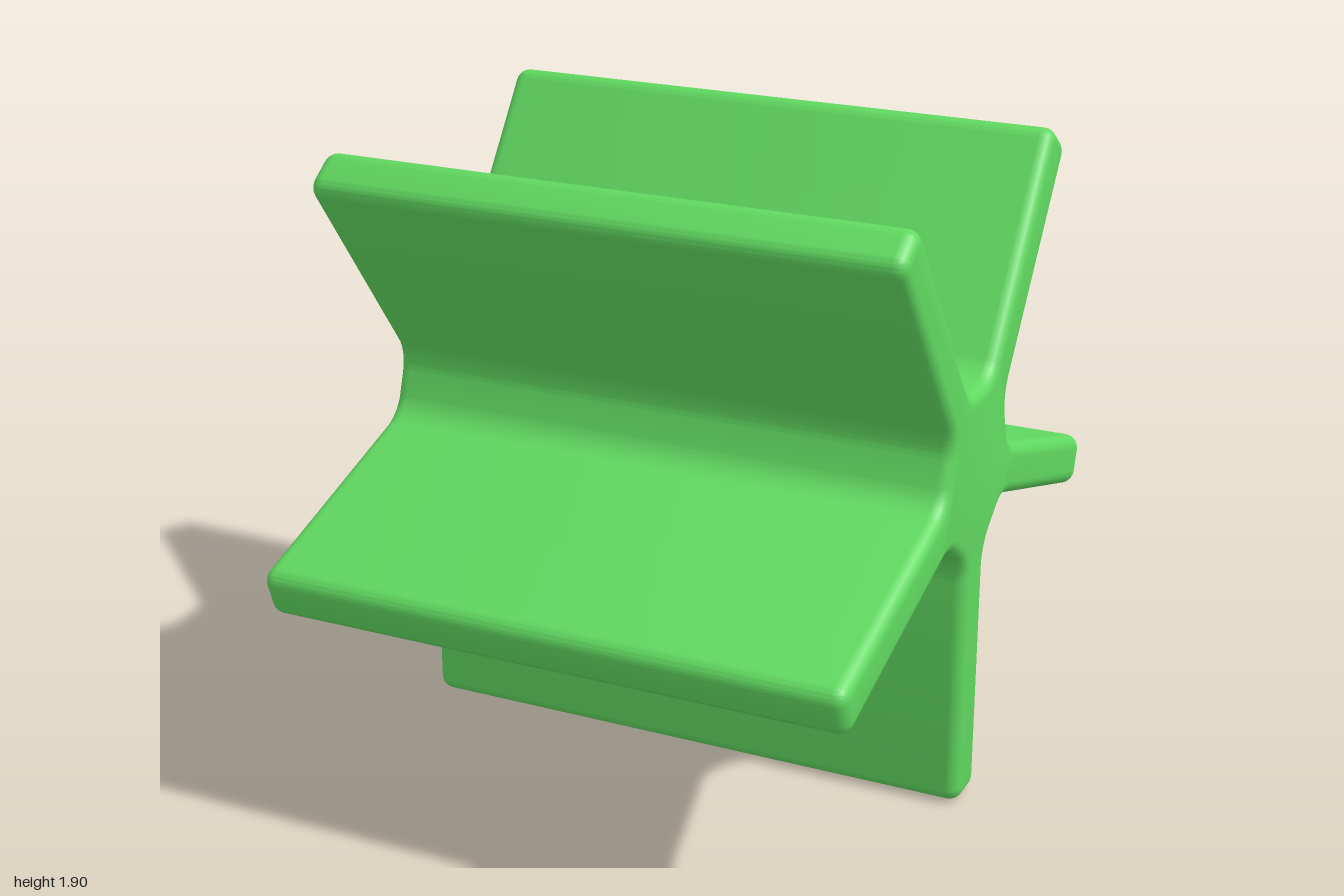
import * as THREE from 'three';
import { toCreasedNormals } from 'three/addons/utils/BufferGeometryUtils.js';

const ARMS = 5, REACH = 1.036, HALF_THICK = 0.078, HUB = 0.255, HALF_LENGTH = 0.885;
const BEVEL = 0.04, TIP_ROUND = 0.046, FILLET = 0.11;

// Closed outline through the corners, each replaced by an arc of its own radius
function roundedShape(corners) {
  const shape = new THREE.Shape();
  const n = corners.length;
  corners.forEach(({ p, r }, i) => {
    const u = corners[(i + n - 1) % n].p.clone().sub(p).normalize();
    const v = corners[(i + 1) % n].p.clone().sub(p).normalize();
    const half = Math.acos(u.dot(v)) / 2;
    const reach = r / Math.tan(half);
    const c = u.clone().add(v).normalize().multiplyScalar(r / Math.sin(half)).add(p);
    const a = u.clone().multiplyScalar(reach).add(p).sub(c).angle();
    const b = v.clone().multiplyScalar(reach).add(p).sub(c).angle();
    shape.absarc(c.x, c.y, r, a, b, u.cross(v) > 0);
  });
  return shape;
}

export function createModel() {
  const group = new THREE.Group();
  group.name = 'paddleRotor';
  const green = new THREE.MeshStandardMaterial({ color: 0x60d860 });
  green.name = 'green';

  // Each arm: root, two tip corners, root; the gaps between roots form the hub
  const half = Math.PI / ARMS;
  const root = (HUB - HALF_THICK * Math.sin(half)) / Math.cos(half);
  const corners = [];
  for (let i = 0; i < ARMS; i++) {
    const angle = -Math.PI / 2 + i * 2 * half;
    const add = (x, y, r) =>
      corners.push({ p: new THREE.Vector2(x, y).rotateAround(new THREE.Vector2(), angle), r });
    add(root, -HALF_THICK, FILLET);
    add(REACH, -HALF_THICK, TIP_ROUND);
    add(REACH, HALF_THICK, TIP_ROUND);
    add(root, HALF_THICK, FILLET);
  }

  // Star section swept along x, with rounded ends
  const depth = 2 * (HALF_LENGTH - BEVEL);
  const geometry = new THREE.ExtrudeGeometry(roundedShape(corners), {
    depth, curveSegments: 8, bevelEnabled: true, bevelThickness: BEVEL,
    bevelSize: BEVEL, bevelOffset: -BEVEL, bevelSegments: 5,
  });
  geometry.translate(0, 0, -depth / 2);
  geometry.rotateY(Math.PI / 2);
  const rotor = new THREE.Mesh(toCreasedNormals(geometry, 0.6), green);
  rotor.name = 'hubAndPaddles';
  rotor.position.y = REACH;
  group.add(rotor);
  return group;
}
